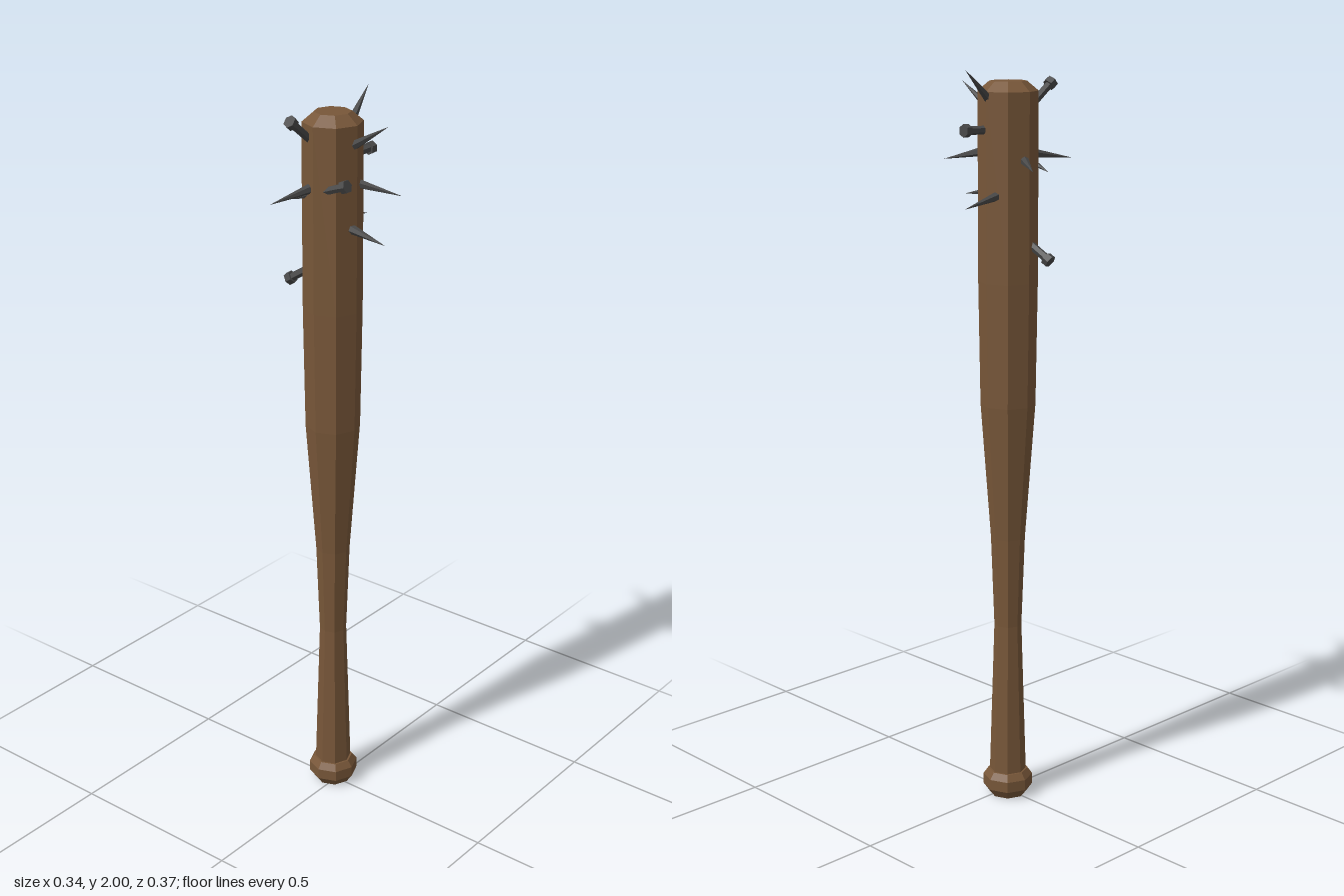
import * as THREE from 'three';

const wood = new THREE.MeshStandardMaterial({ color: 0x785739, flatShading: true });
wood.name = 'brown wood';
const iron = new THREE.MeshStandardMaterial({ color: 0x484848, flatShading: true });
iron.name = 'dark iron';

const UP = new THREE.Vector3(0, 1, 0);

// Six-sided tapered rod running from point a to point b
function rod(name, a, b, rA, rB) {
  const dir = b.clone().sub(a);
  const mesh = new THREE.Mesh(new THREE.CylinderGeometry(rB, rA, dir.length(), 6), iron);
  mesh.position.copy(a).add(b).multiplyScalar(0.5);
  mesh.quaternion.setFromUnitVectors(UP, dir.normalize());
  mesh.name = name;
  return mesh;
}

// Point of a nail: base and tip, with the base sunk into the wood
function spike(base, tip) {
  const a = new THREE.Vector3(...base), b = new THREE.Vector3(...tip);
  const inward = a.clone().sub(b).normalize().multiplyScalar(0.02);
  return rod('nailPoint', a.add(inward), b, 0.014, 0);
}

// Blunt end of a nail: shaft and wider head, out to the end point
function headedNail(base, end) {
  const nail = new THREE.Group();
  const a = new THREE.Vector3(...base), b = new THREE.Vector3(...end);
  const neck = b.clone().add(a.clone().sub(b).normalize().multiplyScalar(0.017));
  nail.add(rod('nailShaft', a, neck, 0.011, 0.011), rod('nailHead', neck, b, 0.017, 0.017));
  nail.name = 'headedNail';
  return nail;
}

export function createModel() {
  const model = new THREE.Group();
  model.name = 'spikedBat';

  // Eight-sided bat with its knob, grip, barrel and chamfered end
  const profile = [
    [0, 0], [0.05, 0], [0.068, 0.025], [0.068, 0.055], [0.055, 0.073], [0.05, 0.073],
    [0.037, 0.5], [0.046, 0.75], [0.073, 1.12], [0.078, 1.45], [0.078, 1.94], [0.048, 1.965], [0, 1.965],
  ].map(([r, y]) => new THREE.Vector2(r, y));
  const bat = new THREE.Mesh(new THREE.LatheGeometry(profile, 8), wood);
  bat.position.set(-0.016, 0, -0.006);
  bat.name = 'bat';
  model.add(bat);

  // Nail points: base, tip
  [
    [[-0.038, 1.677, -0.075], [-0.042, 1.655, -0.185]],
    [[-0.012, 1.925, -0.075], [-0.03, 2.0, -0.17]],
    [[0.05, 1.783, -0.038], [0.148, 1.76, -0.08]],
    [[0.06, 1.895, -0.004], [0.165, 1.957, 0.003]],
    [[0.06, 1.676, 0.005], [0.17, 1.66, 0.018]],
    [[-0.088, 1.768, -0.018], [-0.172, 1.75, -0.072]],
    [[-0.038, 1.777, 0.07], [-0.065, 1.76, 0.182]],
    [[-0.035, 1.763, 0.051], [-0.108, 1.735, 0.05]],
  ].forEach(([base, tip]) => model.add(spike(base, tip)));

  // Headed nails: base inside the wood, outer end
  [
    [[-0.002, 1.843, -0.05], [0, 1.846, -0.148]],
    [[-0.035, 1.763, 0.051], [0.077, 1.803, 0.052]],
    [[-0.065, 1.556, 0.015], [-0.137, 1.51, 0.028]],
    [[-0.042, 1.9, 0.05], [-0.047, 1.96, 0.124]],
  ].forEach(([base, end]) => model.add(headedNail(base, end)));

  return model;
}
